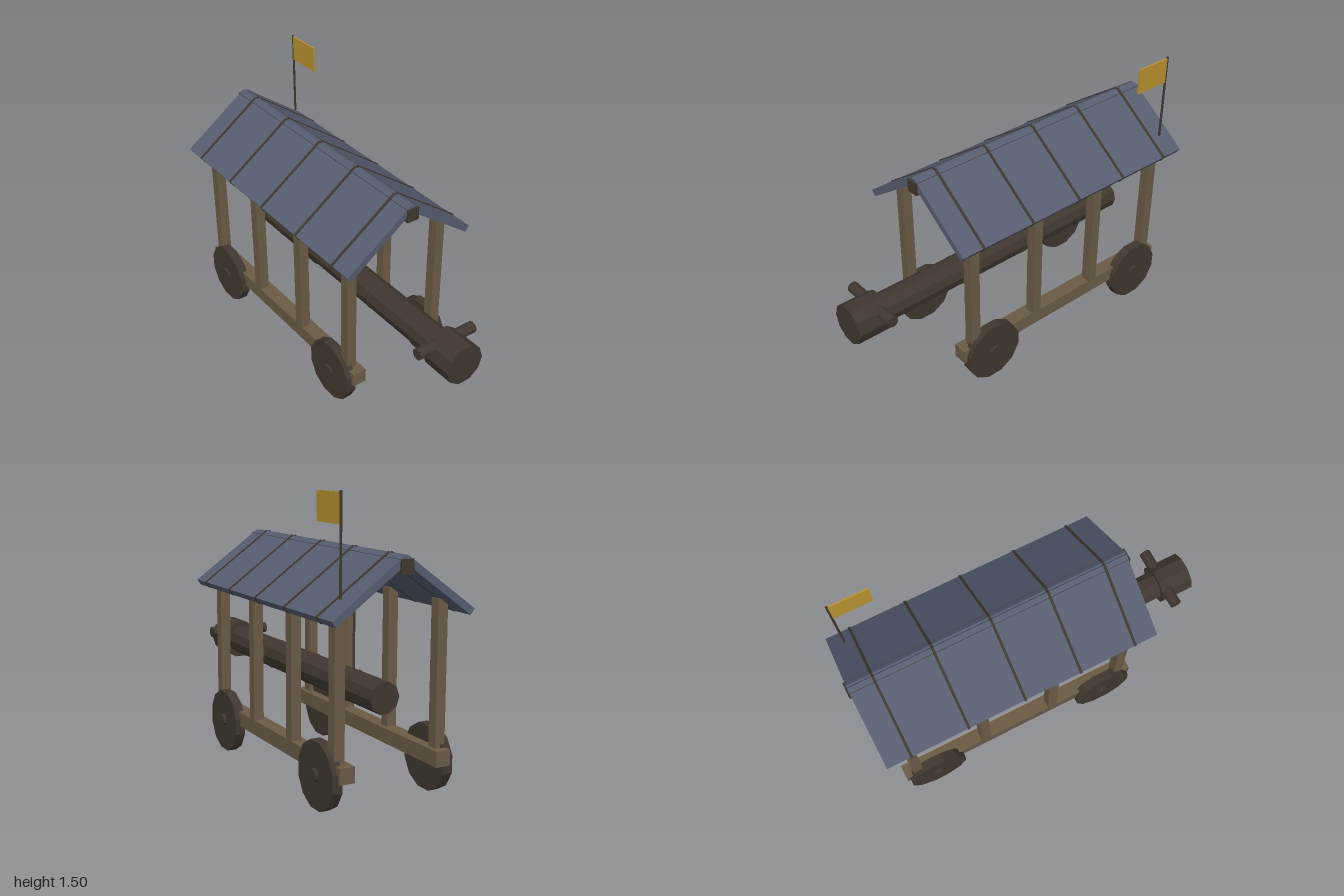
import * as THREE from 'three';

const mat = (name, color) => {
  const m = new THREE.MeshStandardMaterial({ color });
  m.name = name;
  return m;
};

export function createModel() {
  const wood = mat('weathered wood', 0x6b5b45);
  const iron = mat('dark iron', 0x40382f);
  const slate = mat('slate roof', 0x555d70);
  const gold = mat('gold cloth', 0xb8922f);

  const root = new THREE.Group();
  root.name = 'batteringRam';

  const add = (parent, name, geometry, material, x, y, z) => {
    const mesh = new THREE.Mesh(geometry, material);
    mesh.name = name;
    mesh.position.set(x, y, z);
    parent.add(mesh);
    return mesh;
  };
  const box = (w, h, d) => new THREE.BoxGeometry(w, h, d);
  // Faceted geometry with one normal per face
  const faceted = (g) => {
    const flat = g.toNonIndexed();
    flat.computeVertexNormals();
    return flat;
  };
  // Faceted cylinder along a chosen axis
  const rod = (r, length, sides, axis = 'y', turn = 0) => {
    const g = new THREE.CylinderGeometry(r, r, length, sides, 1, false, turn);
    if (axis === 'x') g.rotateZ(Math.PI / 2);
    if (axis === 'z') g.rotateX(Math.PI / 2);
    return faceted(g);
  };

  // Chassis sides: beam, posts and wheels, mirrored in z
  for (const s of [1, -1]) {
    const side = new THREE.Group();
    side.name = s > 0 ? 'frontFrame' : 'backFrame';
    root.add(side);
    add(side, 'sideBeam', box(1.44, 0.08, 0.08), wood, -0.215, 0.21, s * 0.268);
    for (const x of [-0.857, -0.43, -0.003, 0.425]) {
      add(side, 'post', box(0.057, 0.755, 0.055), wood, x, 0.6075, s * 0.282);
    }
    for (const x of [-0.75, 0.32]) {
      add(side, 'wheel', rod(0.173, 0.053, 12, 'z', Math.PI / 12), iron, x, 0.168, s * 0.309);
      add(side, 'wheelHub', rod(0.035, 0.083, 10, 'z'), iron, x, 0.171, s * 0.309);
    }
  }

  // Swinging ram with its head, horns, bands and hanging ropes
  const ram = new THREE.Group();
  ram.name = 'ram';
  root.add(ram);
  const ramY = 0.518;
  add(ram, 'ramShaft', rod(0.082, 1.65, 10, 'x'), iron, 0, ramY, 0);
  add(ram, 'ramHead', rod(0.112, 0.187, 10, 'x'), iron, 0.9065, ramY, 0);
  add(ram, 'ramHorns', rod(0.032, 0.36, 10, 'z'), iron, 0.848, 0.572, 0);
  for (const x of [-0.537, -0.11, 0.318]) {
    const band = faceted(new THREE.TorusGeometry(0.074, 0.012, 6, 12).rotateY(Math.PI / 2));
    add(ram, 'ramBand', band, iron, x, ramY, 0);
  }
  for (const x of [-0.537, 0.105]) {
    add(ram, 'hangingRope', rod(0.007, 0.4, 6), iron, x, 0.772, 0);
  }

  // Gabled roof: two tilted slabs with battens, on a ridge beam
  const pitch = 0.621;
  for (const s of [1, -1]) {
    const slope = new THREE.Group();
    slope.name = s > 0 ? 'frontRoofSlope' : 'backRoofSlope';
    slope.position.set(0, 1.065, s * 0.186);
    slope.rotation.x = s * pitch;
    root.add(slope);
    add(slope, 'roofSlab', box(1.545, 0.037, 0.465), slate, -0.2175, 0, 0);
    for (const x of [-0.855, -0.536, -0.215, 0.105, 0.425]) {
      add(slope, 'roofBatten', box(0.014, 0.043, 0.47), iron, x, 0.001, 0);
    }
  }
  add(root, 'ridgeBeam', box(1.565, 0.07, 0.068), iron, -0.2175, 1.163, 0);

  // Flag on a pole
  add(root, 'flagPole', rod(0.007, 0.48, 6), iron, -0.907, 1.265, -0.295);
  add(root, 'flag', box(0.21, 0.142, 0.009), gold, -0.798, 1.428, -0.295);

  return root;
}
